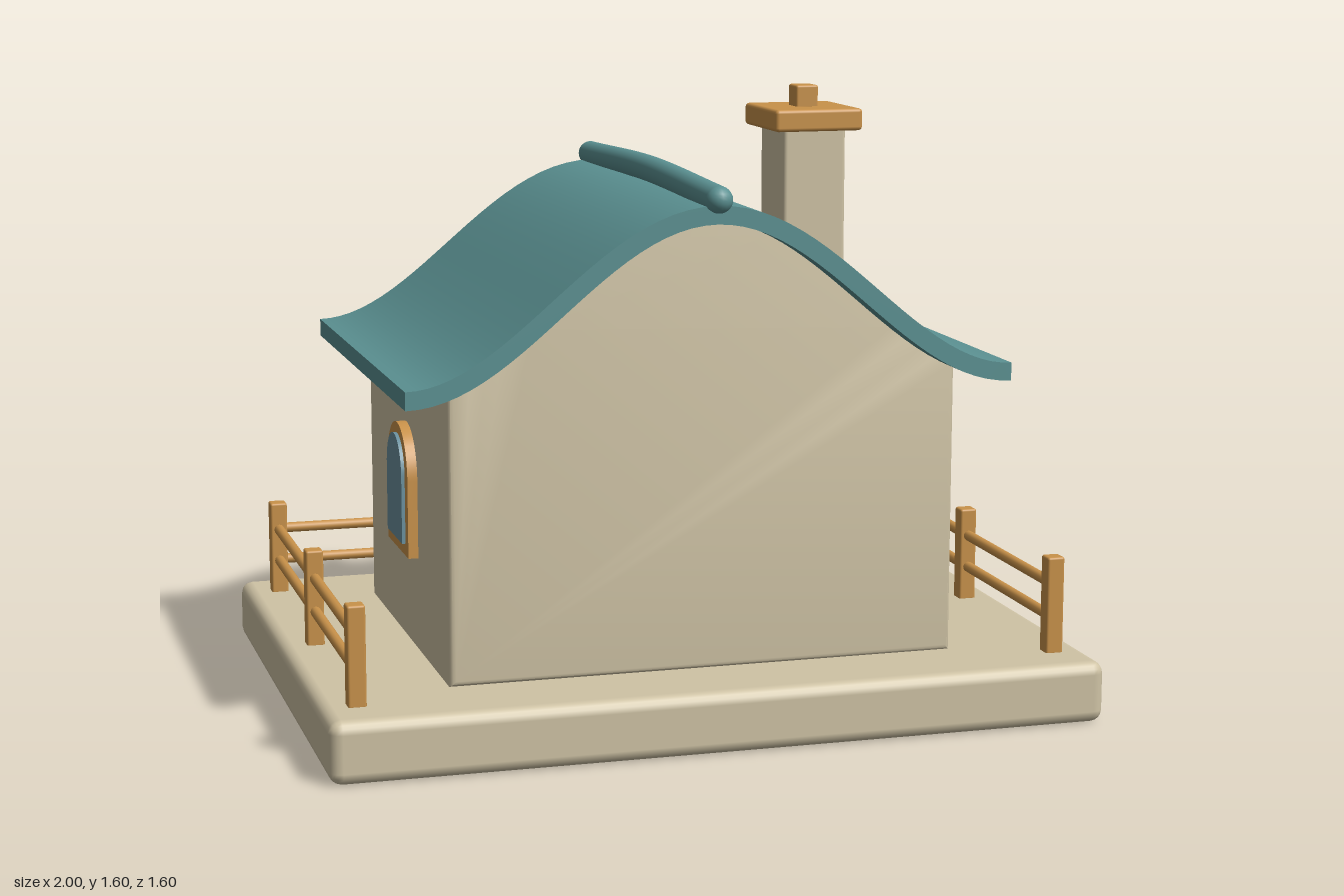
import * as THREE from 'three';
import { toCreasedNormals } from 'three/addons/utils/BufferGeometryUtils.js';
import { RoundedBoxGeometry } from 'three/addons/geometries/RoundedBoxGeometry.js';

const material = (name, color) => Object.assign(new THREE.MeshStandardMaterial({ color }), { name });

const HALF_ROOF = 0.78;
// Height of the underside of the roof, a bell curve across x
const roofY = (x) => 0.877 + 0.2115 * (1 + Math.cos((Math.PI * x) / HALF_ROOF));

export function createModel() {
  const plaster = material('plaster', 0xcfc3a5);
  const wood = material('wood', 0xc9924a);
  const tile = material('roof teal', 0x5b9192);
  const glass = material('window glass', 0x6b919f);
  const model = new THREE.Group();
  model.name = 'cottage';

  const add = (parent, name, geometry, mat, x = 0, y = 0, z = 0) => {
    const mesh = new THREE.Mesh(geometry, mat);
    mesh.name = name;
    mesh.position.set(x, y, z);
    parent.add(mesh);
    return mesh;
  };
  const group = (name, x = 0, y = 0, z = 0, turn = 0) => {
    const g = new THREE.Group();
    g.name = name;
    g.position.set(x, y, z);
    g.rotation.y = turn;
    model.add(g);
    return g;
  };
  // Box given by its limits
  const block = (parent, name, mat, [x0, x1], [y0, y1], [z0, z1], r = 0.006) =>
    add(parent, name, new RoundedBoxGeometry(x1 - x0, y1 - y0, z1 - z0, 2, r), mat,
      (x0 + x1) / 2, (y0 + y1) / 2, (z0 + z1) / 2);
  // Round-topped slab standing on y = 0 and facing +z
  const arch = (half, height, depth) => {
    const s = new THREE.Shape();
    s.moveTo(-half, 0);
    s.lineTo(half, 0);
    s.lineTo(half, height - half);
    s.absarc(0, height - half, half, 0, Math.PI, false);
    s.closePath();
    return toCreasedNormals(
      new THREE.ExtrudeGeometry(s, { depth, bevelEnabled: false, curveSegments: 20 }), 0.6);
  };

  // Ground slab and steps
  block(model, 'foundation', plaster, [-1, 1], [0, 0.16], [-0.68, 0.8], 0.032);
  const steps = group('steps');
  [[0.09, -0.8], [0.13, -0.74], [0.17, -0.68]].forEach(([top, z]) =>
    block(steps, 'step', plaster, [-0.3, 0.3], [0.025, top], [z, -0.44]));

  // Walls: one gabled body reaching up into the roof
  const bevel = 0.015;
  const wall = 0.66 - bevel;
  const gable = new THREE.Shape();
  gable.moveTo(-wall, 0.16 + bevel);
  gable.lineTo(wall, 0.16 + bevel);
  for (let i = 0; i <= 32; i++) {
    const x = wall * (1 - i / 16);
    gable.lineTo(x, roofY(x) + 0.004);
  }
  gable.closePath();
  add(model, 'walls', toCreasedNormals(new THREE.ExtrudeGeometry(gable, {
    depth: 1.022 - 2 * bevel, bevelSize: bevel, bevelThickness: bevel, bevelSegments: 3,
  }), 0.6), plaster, 0, 0, -0.445 + bevel);

  // Curved roof sheet of even thickness
  const under = [], over = [];
  for (let i = 0; i <= 48; i++) {
    const x = HALF_ROOF * (i / 24 - 1);
    const slope = -0.2115 * (Math.PI / HALF_ROOF) * Math.sin((Math.PI * x) / HALF_ROOF);
    const k = 0.046 / Math.hypot(1, slope);
    under.push(new THREE.Vector2(x, roofY(x)));
    over.unshift(new THREE.Vector2(x - slope * k, roofY(x) + k));
  }
  add(model, 'roof', toCreasedNormals(new THREE.ExtrudeGeometry(
    new THREE.Shape([...under, ...over]), { depth: 1.195, bevelEnabled: false }), 0.6), tile, 0, 0, -0.535);

  // Ridge pole, slightly raised in the middle, with round ends
  const ridge = group('ridge pole');
  const path = new THREE.CatmullRomCurve3([
    new THREE.Vector3(0, 1.362, 0.672),
    new THREE.Vector3(0, 1.378, 0.06),
    new THREE.Vector3(0, 1.362, -0.546),
  ]);
  add(ridge, 'pole', new THREE.TubeGeometry(path, 24, 0.034, 16), tile);
  for (const z of [0.672, -0.546])
    add(ridge, 'pole end', new THREE.SphereGeometry(0.034, 16, 12), tile, 0, 1.362, z);

  // Chimney
  const chimney = group('chimney', 0.38, 0, 0.187);
  block(chimney, 'shaft', plaster, [-0.084, 0.084], [0.98, 1.5], [-0.097, 0.097], 0.01);
  block(chimney, 'cap', wood, [-0.118, 0.118], [1.488, 1.545], [-0.132, 0.132], 0.01);
  block(chimney, 'cap knob', wood, [-0.03, 0.03], [1.54, 1.6], [-0.033, 0.033]);

  // Arched windows: frame slab with a pane on its face
  const archedWindow = (name, x, y, z, turn, half, height, depth, rim) => {
    const g = group(name, x, y, z, turn);
    add(g, 'frame', arch(half, height, depth), wood);
    add(g, 'pane', arch(half - rim, height - 2 * rim + 0.012, 0.009), glass, 0, rim - 0.004, depth);
  };
  for (const s of [-1, 1]) {
    archedWindow('side window', s * 0.66, 0.403, 0.066, s * Math.PI / 2, 0.133, 0.335, 0.026, 0.036);
    archedWindow('small window', s * 0.415, 0.39, -0.445, Math.PI, 0.083, 0.265, 0.06, 0.03);
  }

  // Door with battens and knob
  const door = group('door', 0, 0.16, -0.445, Math.PI);
  add(door, 'door frame', arch(0.23, 0.565, 0.045), wood);
  add(door, 'door leaf', arch(0.185, 0.515, 0.013), wood, 0, 0, 0.045);
  for (const x of [-0.065, 0.065])
    add(door, 'batten', new THREE.BoxGeometry(0.012, 0.46, 0.006), wood, x, 0.24, 0.06);
  add(door, 'knob', new THREE.SphereGeometry(0.018, 16, 12), wood, 0.11, 0.21, 0.075);

  // Round gable window with a cross
  const round = group('round window', 0, 0.978, -0.445, Math.PI);
  const disc = new THREE.CylinderGeometry(0.14, 0.14, 0.03, 32).rotateX(Math.PI / 2);
  add(round, 'pane', disc, glass, 0, 0, 0.01);
  add(round, 'ring', new THREE.TorusGeometry(0.138, 0.024, 12, 40), wood, 0, 0, 0.036);
  add(round, 'upright bar', new THREE.BoxGeometry(0.02, 0.27, 0.025), wood, 0, 0, 0.033);
  add(round, 'cross bar', new THREE.BoxGeometry(0.27, 0.02, 0.025), wood, 0, 0, 0.033);

  // Fences: along both sides and part of the door side
  for (const s of [-1, 1]) {
    const fence = group('fence');
    const post = (x, z) =>
      block(fence, 'post', wood, [x - 0.023, x + 0.023], [0.155, 0.412], [z - 0.023, z + 0.023]);
    [-0.535, 0.06, 0.655].forEach((z) => post(s * 0.91, z));
    post(s * 0.385, -0.535);
    for (const y of [0.25, 0.338]) {
      add(fence, 'side rail', new THREE.CylinderGeometry(0.014, 0.014, 1.19, 12).rotateX(Math.PI / 2),
        wood, s * 0.91, y, 0.06);
      add(fence, 'short rail', new THREE.CylinderGeometry(0.014, 0.014, 0.525, 12).rotateZ(Math.PI / 2),
        wood, s * 0.6475, y, -0.535);
    }
  }
  return model;
}
